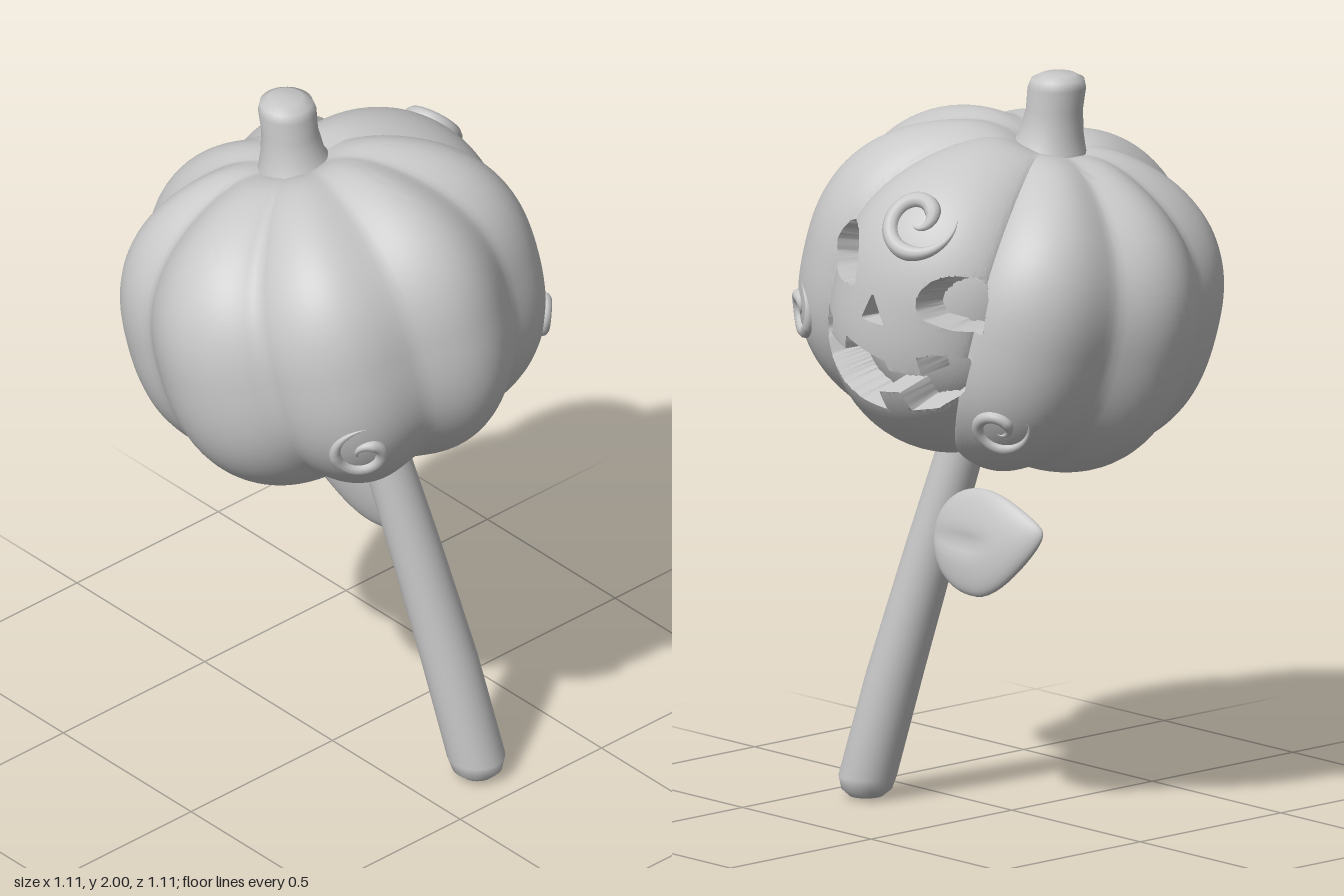
import * as THREE from 'three';
import { mergeVertices, toCreasedNormals } from 'three/addons/utils/BufferGeometryUtils.js';

const DEG = Math.PI / 180;
const CENTER = new THREE.Vector3(0, 1.41, 0);
const TILT = new THREE.Quaternion().setFromUnitVectors(
  new THREE.Vector3(0, 1, 0), new THREE.Vector3(-0.1, 1, -0.24).normalize());
const UNTILT = TILT.clone().invert();

// creases between the eight lobes: [angle, depth, softness]
const CREASES = [
  [-36, 0.11, 0.75], [23, 0.11, 0.75], [63, 0.075, 1.3], [105, 0.075, 1.4], [151, 0.11, 0.8],
  [201, 0.09, 1.1], [238, 0.085, 1.2], [281, 0.08, 1.3], [324, 0.11, 0.75],
];

// carved openings as outlines of [z, y]
const OPENINGS = [
  [[.186, 1.544], [.188, 1.58], [.175, 1.607], [.155, 1.63], [.127, 1.639], [.09, 1.639], [.064, 1.629], [.038, 1.603],
    [.021, 1.565], [.016, 1.496], [.095, 1.496], [.164, 1.512]],
  [[-.186, 1.459], [-.186, 1.488], [-.196, 1.512], [-.217, 1.536], [-.244, 1.549], [-.272, 1.551], [-.297, 1.544],
    [-.317, 1.522], [-.329, 1.485], [-.324, 1.395], [-.26, 1.406], [-.202, 1.432]],
  [[-.058, 1.491], [-.021, 1.416], [-.101, 1.406]],
  [[.186, 1.443], [.191, 1.342], [.159, 1.279], [.095, 1.22], [.016, 1.183], [-.058, 1.167], [-.058, 1.22], [-.122, 1.225],
    [-.127, 1.172], [-.191, 1.183], [-.26, 1.236], [-.292, 1.326], [-.223, 1.337], [-.18, 1.326], [-.186, 1.279],
    [-.106, 1.284], [-.095, 1.31], [.042, 1.358], [.048, 1.321], [.127, 1.342], [.122, 1.39], [.164, 1.4]],
];

// nearest outline point and whether the given point lies inside
function nearestOnOutline(poly, px, py) {
  const hit = { d: Infinity, z: 0, y: 0, inside: false };
  poly.forEach(([ax, ay], i) => {
    const [bx, by] = poly[(i + 1) % poly.length];
    const dx = bx - ax, dy = by - ay;
    const t = THREE.MathUtils.clamp(((px - ax) * dx + (py - ay) * dy) / (dx * dx + dy * dy), 0, 1);
    const z = ax + dx * t, y = ay + dy * t, d = Math.hypot(px - z, py - y);
    if (d < hit.d) Object.assign(hit, { d, z, y });
    if ((ay > py) !== (by > py) && px < ax + dx * (py - ay) / dy) hit.inside = !hit.inside;
  });
  return hit;
}

// point on the lobed shell in a world direction from its centre
function shellPoint(dir) {
  const l = dir.clone().normalize().applyQuaternion(UNTILT);
  const s = Math.hypot(l.x, l.z);
  let deg = Math.atan2(l.z, l.x) / DEG;
  if (deg < CREASES[0][0]) deg += 360;
  let k = 0;
  while (k < 7 && deg > CREASES[k + 1][0]) k++;
  const from = CREASES[k], to = CREASES[k + 1];
  const t = THREE.MathUtils.clamp((deg - from[0]) / (to[0] - from[0]), 0, 1);
  const [, depth, soft] = t < 0.5 ? from : to;
  const lobe = Math.pow(Math.sin(Math.PI * t), soft);
  const low = THREE.MathUtils.smoothstep(-l.y, -0.2, 0.4);
  const power = 2.4 + 0.12 * low, half = 0.44 + 0.008 * low;
  let r = Math.pow(Math.pow(s / 0.555, power) + Math.pow(Math.abs(l.y) / half, power), -1 / power);
  r *= 1 - depth * (1 - lobe) * THREE.MathUtils.smoothstep(s, 0.1, 0.9);
  r -= (0.058 + 0.012 * low) * Math.exp(-Math.pow(s / 0.25, 2));
  return dir.clone().normalize().multiplyScalar(r).add(CENTER);
}

// cut the openings: points near an outline snap to it, points inside sink inward
function carve(p) {
  for (const outline of OPENINGS) {
    const hit = nearestOnOutline(outline, p.z, p.y);
    if (hit.d < 0.0034) p.set(p.x, hit.y, hit.z);
    else if (hit.inside) {
      const inward = CENTER.clone().sub(p).normalize();
      inward.x -= 1;
      p.addScaledVector(inward.normalize(), 0.11);
    } else continue;
    return;
  }
}

// evenly spaced values within each [start, end, count] span
function steps(spans) {
  const out = [];
  for (const [a, b, n] of spans) for (let i = 0; i < n; i++) out.push((a + (b - a) * i / n) * DEG);
  return out;
}

// shell grid, finer on the carved side
function shellGeometry() {
  const cols = steps([[-45, 35, 150], [35, 315, 112]]);
  const rows = [...steps([[0.2, 55, 18], [55, 125, 110], [125, 179.8, 18]]), 179.8 * DEG];
  const pos = [], index = [], n = cols.length;
  for (const phi of rows) for (const th of cols) {
    const dir = new THREE.Vector3(Math.sin(phi) * Math.cos(th), Math.cos(phi), Math.sin(phi) * Math.sin(th));
    const p = shellPoint(dir.applyQuaternion(TILT));
    if (p.x > 0.2) carve(p);
    pos.push(p.x, p.y, p.z);
  }
  for (let i = 0; i < rows.length - 1; i++) for (let j = 0; j < n; j++) {
    const a = i * n + j, b = i * n + (j + 1) % n;
    index.push(a, b, a + n, b, b + n, a + n);
  }
  const g = new THREE.BufferGeometry();
  g.setAttribute('position', new THREE.Float32BufferAttribute(pos, 3));
  g.setIndex(index);
  return toCreasedNormals(g, 50 * DEG);
}

// drop seams and recompute smooth normals
function smooth(g) {
  g.deleteAttribute('uv');
  g.deleteAttribute('normal');
  const m = mergeVertices(g, 1e-5);
  m.computeVertexNormals();
  return m;
}

// round column from [radius, y] points, sheared along a centre line of [x, y, z]
function column(profile, line) {
  const g = new THREE.LatheGeometry(profile.map(([r, y]) => new THREE.Vector2(r, y)), 32);
  const p = g.attributes.position;
  for (let i = 0; i < p.count; i++) {
    const y = p.getY(i);
    let k = 0;
    while (k < line.length - 2 && y > line[k + 1][1]) k++;
    const [a, b] = [line[k], line[k + 1]], t = (y - a[1]) / (b[1] - a[1]);
    p.setX(i, p.getX(i) + a[0] + (b[0] - a[0]) * t);
    p.setZ(i, p.getZ(i) + a[2] + (b[2] - a[2]) * t);
  }
  return smooth(g);
}

// fat tapered curl lying on the shell
function swirlGeometry(at, size, start, turn) {
  const d = new THREE.Vector3(...at).sub(CENTER);
  const side = new THREE.Vector3(0, 1, 0).cross(d).normalize();
  const up = d.clone().cross(side).normalize();
  const pts = [];
  for (let i = 0; i <= 30; i++) {
    const t = i / 30, a = start + turn * t * Math.PI * 2.7, r = size * (1 - 0.85 * t);
    pts.push(shellPoint(d.clone().addScaledVector(side, r * Math.cos(a)).addScaledVector(up, r * Math.sin(a))));
  }
  const curve = new THREE.CatmullRomCurve3(pts), N = 90, R = 10;
  const g = new THREE.TubeGeometry(curve, N, size * 0.2, R);
  const p = g.attributes.position, v = new THREE.Vector3();
  for (let i = 0; i < p.count; i++) {
    const t = Math.floor(i / (R + 1)) / N;
    const k = Math.min(1, 0.02 + t * 3, 0.02 + (1 - t) * 6);
    const c = curve.getPointAt(t);
    v.fromBufferAttribute(p, i).sub(c).multiplyScalar(k).add(c);
    p.setXYZ(i, v.x, v.y, v.z);
  }
  return smooth(g);
}

// pointed leaf with a soft fold at its base and an upturned tip
function leafGeometry() {
  const g = new THREE.SphereGeometry(1, 40, 28);
  g.rotateX(-Math.PI / 2);
  const p = g.attributes.position;
  for (let i = 0; i < p.count; i++) {
    const x = p.getX(i), y = p.getY(i), z = p.getZ(i);
    const tip = Math.pow(Math.max(0, -z), 2);
    const wy = y * 0.14 * (1 - 0.4 * tip) * (1 + 0.08 * z);
    const fold = x > 0 ? 0.012 * Math.exp(-Math.pow(y / 0.15, 2)) * (1 - z * z) * THREE.MathUtils.smoothstep(z, -0.4, 0.2) : 0;
    p.setXYZ(i, 0.143 - wy * 0.16 + x * 0.036 - fold - 0.04 * tip, 0.748 + wy + 0.045 * tip, -0.045 + z * 0.187);
  }
  return smooth(g);
}

export function createModel() {
  const group = new THREE.Group();
  const grey = new THREE.MeshStandardMaterial({ color: 0xc8c8c8 });
  grey.name = 'plain grey';
  const add = (name, geometry) => {
    const m = new THREE.Mesh(geometry, grey);
    m.name = name;
    group.add(m);
  };

  add('carvedPumpkin', shellGeometry());

  // handle stick with rounded foot
  add('handle', column(
    [[0, 0], [0.045, 0.006], [0.067, 0.025], [0.077, 0.06], [0.076, 0.35], [0.07, 0.7], [0.064, 1.0], [0.062, 1.13], [0, 1.13]],
    [[0.178, 0, 0.372], [0.177, 0.1, 0.362], [0.145, 0.4, 0.273], [0.09, 0.8, 0.17], [0.038, 1.13, 0.085]]));

  // flared stalk on top
  add('stalk', column(
    [[0, 1.72], [0.13, 1.75], [0.105, 1.79], [0.085, 1.835], [0.075, 1.9], [0.077, 1.96], [0.07, 1.984], [0.045, 1.997], [0, 2]],
    [[-0.03, 1.72, -0.07], [-0.05, 1.84, -0.102], [-0.055, 2, -0.122]]));

  add('leaf', leafGeometry());

  // curled ridges: position, size, starting angle, winding
  [
    ['foreheadSwirl', [0.45, 1.68, -0.13], 0.11, 0.2, -1],
    ['frontLeftSwirl', [0.42, 1.355, 0.36], 0.083, 1.2, -1],
    ['backLeftSwirl', [0.34, 1.14, -0.32], 0.083, 0.4, -1],
    ['frontRightSwirl', [-0.275, 1.27, 0.42], 0.086, 1.5, 1],
  ].forEach(([name, at, size, start, turn]) => add(name, swirlGeometry(at, size, start, turn)));

  return group;
}
